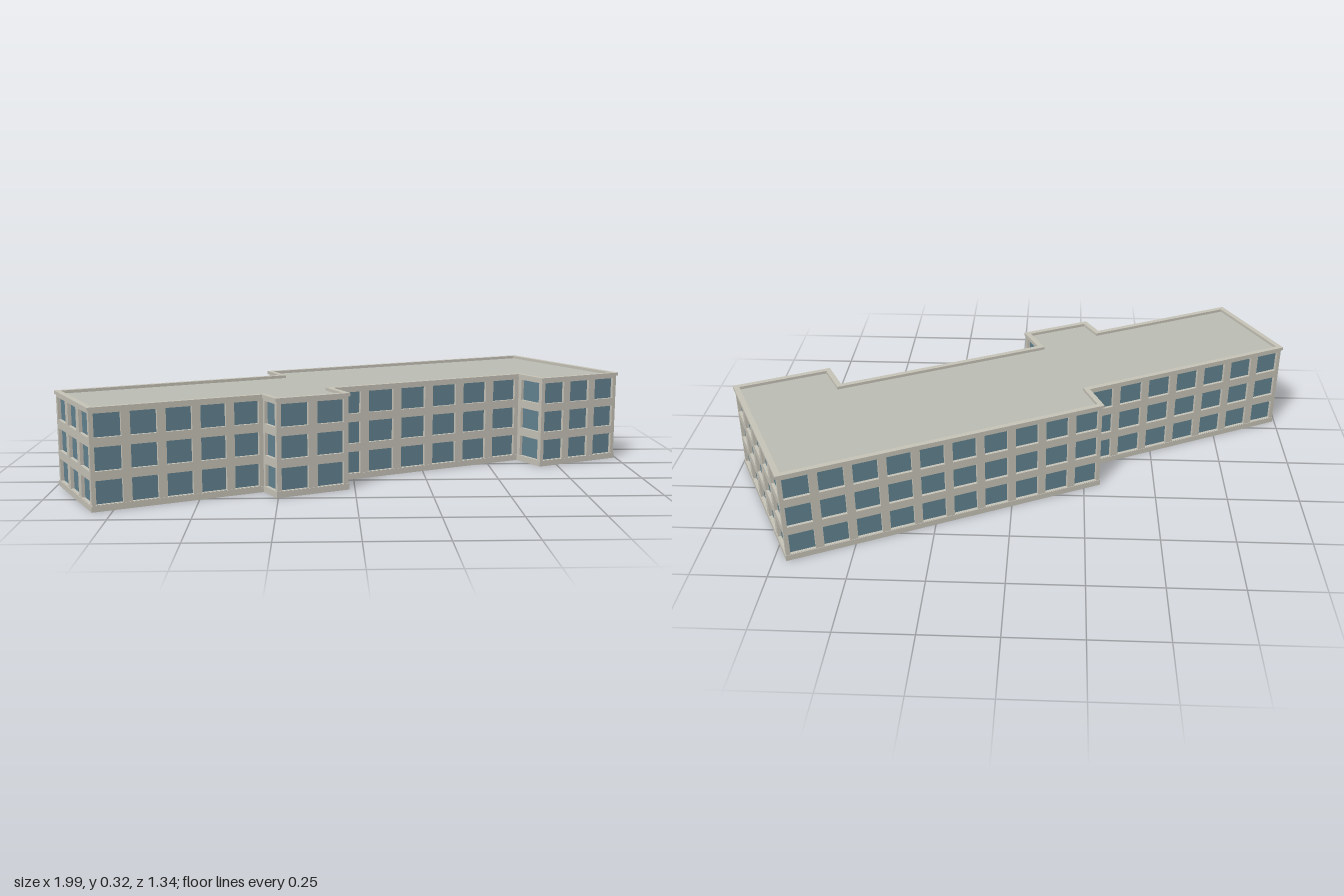
import * as THREE from 'three';

const wallMat = new THREE.MeshStandardMaterial({ name: 'warm grey concrete', color: 0xc9c6ba });
const roofMat = new THREE.MeshStandardMaterial({ name: 'grey roofing', color: 0xbebfb6 });
const glassMat = new THREE.MeshStandardMaterial({ name: 'blue grey glass', color: 0x648593, side: THREE.DoubleSide });

// Footprint corners [x, z] and the number of window bays on the wall that starts there
const PLAN = [
  [-0.99, 0.305, 3], [-0.81, 0.663, 5], [-0.3, 0.412, 1], [-0.253, 0.498, 2],
  [-0.022, 0.387, 1], [-0.077, 0.272, 6], [0.62, -0.067, 1], [0.683, 0.053, 3],
  [0.99, -0.095, 5], [0.707, -0.665, 10], [-0.305, -0.175, 1], [-0.257, -0.06, 7],
];
const SILLS = [0.021, 0.125, 0.229];
const WINDOW_HEIGHT = 0.075;
const WALL_TOP = 0.314;
const DEPTH = 0.012;

// Footprint moved outward by d, with mitred corners
function outline(d) {
  const p = PLAN.map(([x, z]) => new THREE.Vector2(x, -z));
  const n = p.length;
  const normal = (i) => {
    const e = p[(i + 1) % n].clone().sub(p[i % n]).normalize();
    return new THREE.Vector2(e.y, -e.x);
  };
  return p.map((v, i) => {
    const a = normal(i + n - 1), b = normal(i);
    const m = a.clone().add(b);
    return v.clone().addScaledVector(m, d / (1 + a.dot(b)));
  });
}

// Flat slab or ring following the footprint
function slab(name, outer, inner, y, height, material) {
  const shape = new THREE.Shape(outline(outer));
  if (inner !== null) shape.holes.push(new THREE.Path(outline(inner)));
  const geo = new THREE.ExtrudeGeometry(shape, { depth: height, bevelEnabled: false });
  geo.rotateX(-Math.PI / 2).translate(0, y, 0);
  const mesh = new THREE.Mesh(geo, material);
  mesh.name = name;
  return mesh;
}

function rect(target, x0, y0, x1, y1) {
  target.moveTo(x0, y0);
  target.lineTo(x1, y0);
  target.lineTo(x1, y1);
  target.lineTo(x0, y1);
  target.closePath();
  return target;
}

// One wall with a grid of recessed windows
function facade(a, b) {
  const dx = b[0] - a[0], dz = b[1] - a[1];
  const length = Math.hypot(dx, dz);
  const bay = length / a[2];
  const w = bay * 0.75;
  const group = new THREE.Group();
  group.name = 'facade';
  const shape = rect(new THREE.Shape(), 0, 0, length, WALL_TOP);
  for (let i = 0; i < a[2]; i++) {
    const x = (i + 0.5) * bay;
    for (const y of SILLS) {
      shape.holes.push(rect(new THREE.Path(), x - w / 2, y, x + w / 2, y + WINDOW_HEIGHT));
      const pane = new THREE.Mesh(new THREE.PlaneGeometry(w, WINDOW_HEIGHT), glassMat);
      pane.position.set(x, y + WINDOW_HEIGHT / 2, -DEPTH + 0.001);
      pane.name = 'windowPane';
      group.add(pane);
    }
  }
  const geo = new THREE.ExtrudeGeometry(shape, { depth: DEPTH, bevelEnabled: false });
  const wall = new THREE.Mesh(geo.translate(0, 0, -DEPTH), wallMat);
  wall.name = 'wall';
  group.add(wall);
  group.position.set(a[0], 0, a[1]);
  group.rotation.y = Math.atan2(-dz, dx);
  return group;
}

export function createModel() {
  const model = new THREE.Group();
  model.name = 'officeBuilding';
  PLAN.forEach((a, i) => model.add(facade(a, PLAN[(i + 1) % PLAN.length])));
  // Plinth, roof and parapet; the shell is open underneath
  model.add(slab('plinth', 0.002, -DEPTH, 0, 0.02, wallMat));
  model.add(slab('roof', -0.004, null, 0.306, 0.008, roofMat));
  model.add(slab('parapet', 0.005, -0.014, 0.313, 0.011, wallMat));
  return model;
}
